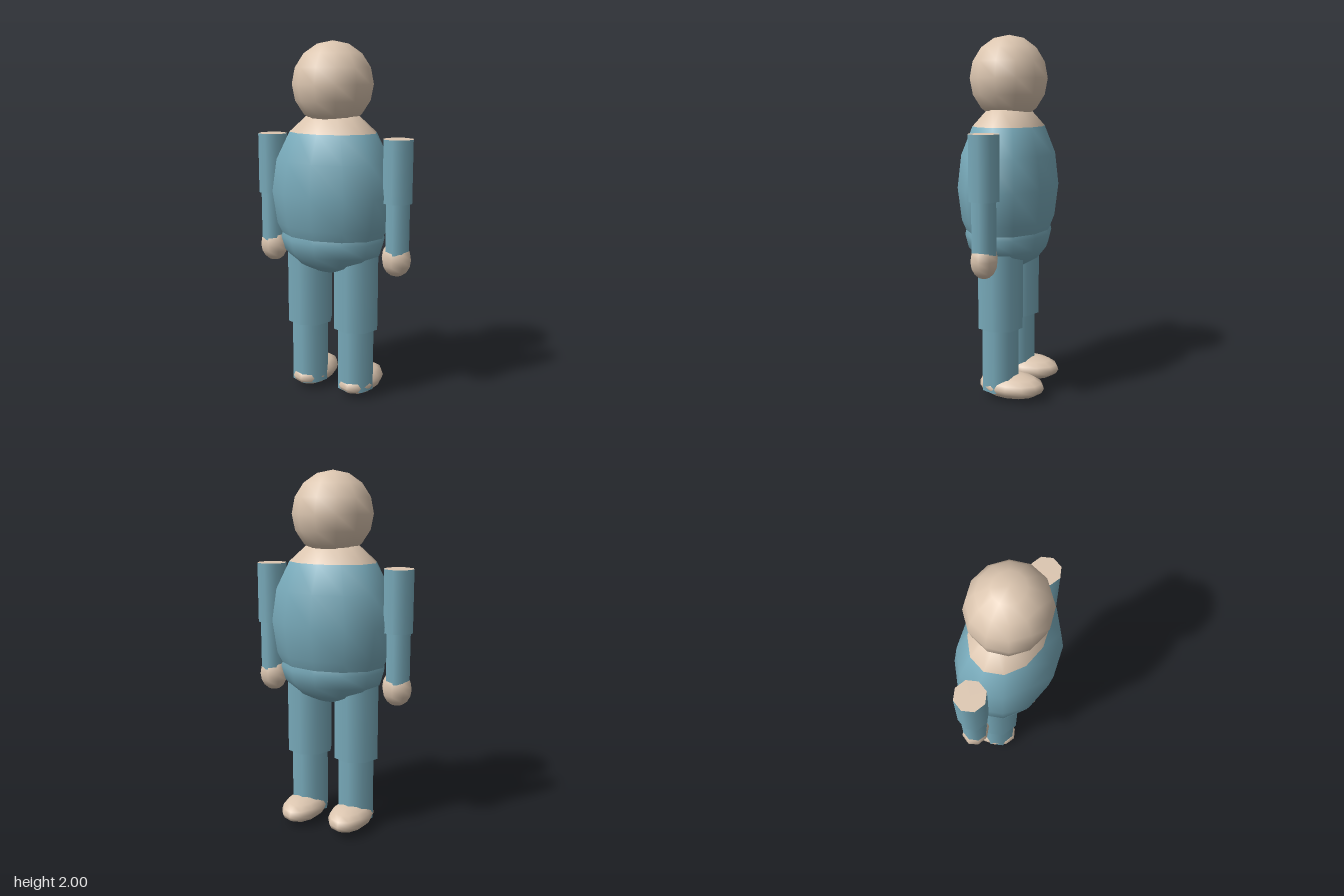
import * as THREE from 'three';

export function createModel() {
  const model = new THREE.Group();
  model.name = 'figure';

  const cloth = new THREE.MeshStandardMaterial({ color: 0x78aaba });
  cloth.name = 'blue cloth';
  const skin = new THREE.MeshStandardMaterial({ color: 0xdcc6b0 });
  skin.name = 'skin';

  function add(parent, name, geometry, material, x, y, z = 0) {
    const mesh = new THREE.Mesh(geometry, material);
    mesh.name = name;
    mesh.position.set(x, y, z);
    parent.add(mesh);
    return mesh;
  }

  // Low-poly ellipsoid, optionally only a band from polar angle t0 over t
  function ellipsoid(rx, ry, rz, sides = 12, rows = 8, t0 = 0, t = Math.PI) {
    return new THREE.SphereGeometry(1, sides, rows, 0, Math.PI * 2, t0, t).scale(rx, ry, rz);
  }

  // Upright cylinder given by its bottom and top heights
  function limb(parent, name, r, bottom, top, x, material) {
    const geometry = new THREE.CylinderGeometry(r, r, top - bottom, 8);
    return add(parent, name, geometry, material, x, (bottom + top) / 2);
  }

  // Head and body: the upper two rows of the torso are bare
  add(model, 'head', ellipsoid(0.225, 0.23, 0.215), skin, 0, 1.77);
  const quarter = Math.PI / 4;
  add(model, 'neckline', ellipsoid(0.36, 0.47, 0.272, 12, 2, 0, quarter), skin, 0, 1.18);
  add(model, 'torso', ellipsoid(0.36, 0.47, 0.272, 12, 6, quarter, Math.PI - quarter), cloth, 0, 1.18);
  add(model, 'pelvis', ellipsoid(0.31, 0.2, 0.235), cloth, 0, 0.92);

  for (const [side, s] of [['left', 1], ['right', -1]]) {
    // Arm: the open shoulder end shows skin
    const arm = new THREE.Group();
    arm.name = side + 'Arm';
    limb(arm, 'upperArm', 0.085, 1.15, 1.49, s * 0.388, [cloth, skin, cloth]);
    limb(arm, 'forearm', 0.069, 0.87, 1.16, s * 0.392, cloth);
    add(arm, 'hand', ellipsoid(0.086, 0.1, 0.074, 8, 8), skin, s * 0.388, 0.84);
    model.add(arm);

    // Leg: the foot points to the rear
    const leg = new THREE.Group();
    leg.name = side + 'Leg';
    limb(leg, 'thigh', 0.132, 0.41, 0.85, s * 0.148, cloth);
    limb(leg, 'shin', 0.108, 0.045, 0.42, s * 0.148, cloth);
    add(leg, 'foot', ellipsoid(0.117, 0.07, 0.19), skin, s * 0.15, 0.07, -0.068);
    model.add(leg);
  }

  return model;
}
